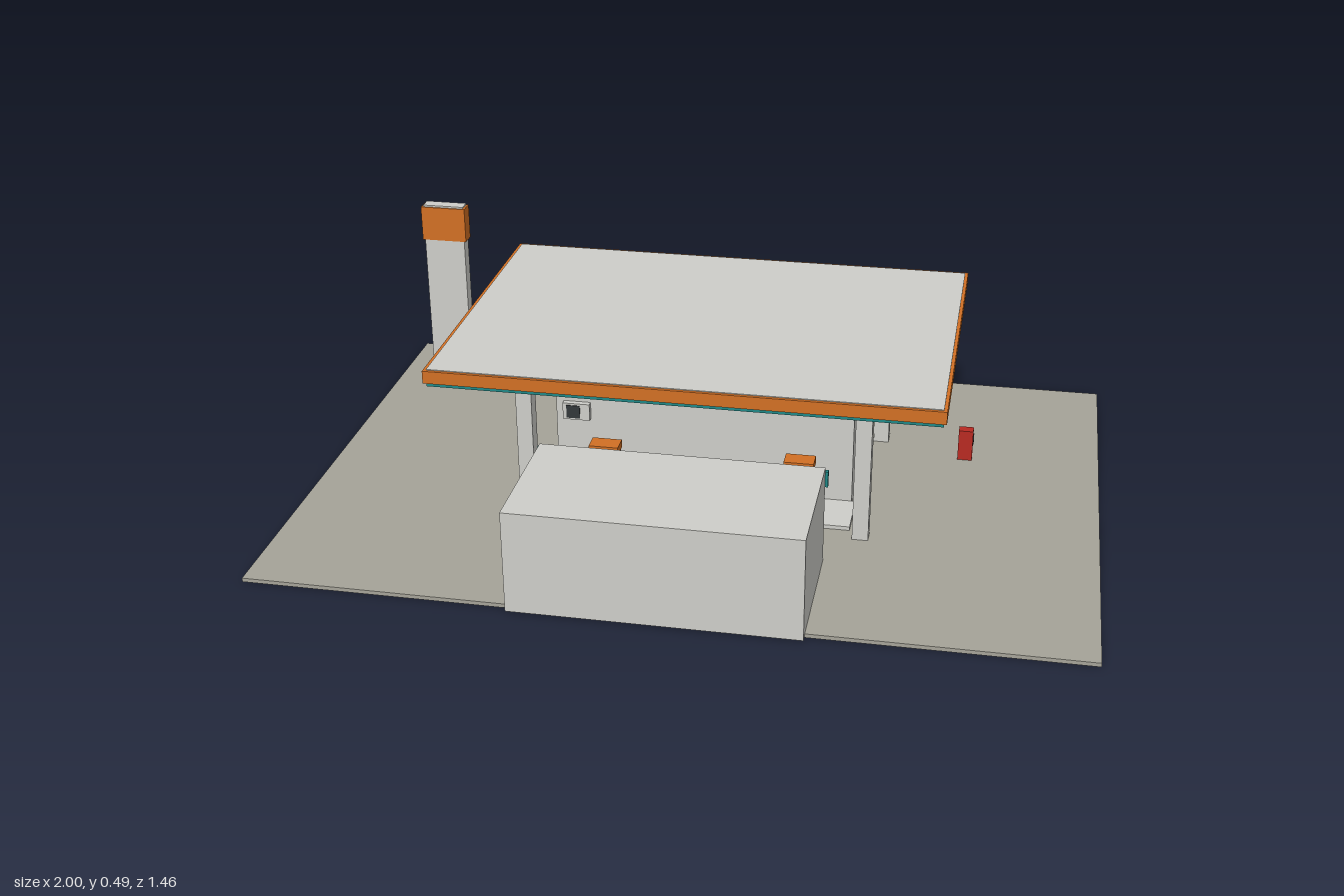
import * as THREE from 'three';

export function createModel() {
  const root = new THREE.Group();
  root.name = 'fillingStation';

  const mat = (name, color) => {
    const m = new THREE.MeshStandardMaterial({ color });
    m.name = name;
    return m;
  };
  const wall = mat('paleGrey', 0xcfcfca);
  const paving = mat('paving', 0xa6a499);
  const orange = mat('orange', 0xd27024);
  const teal = mat('teal', 0x1f8886);
  const red = mat('red', 0xb82a22);
  const glass = mat('darkGlass', 0x35505c);
  const dark = mat('darkMetal', 0x33373a);
  const brown = mat('brownWood', 0x5a3422);

  // Box given by its limits on each axis
  const box = (name, material, [x0, x1], [y0, y1], [z0, z1], parent = root) => {
    const mesh = new THREE.Mesh(new THREE.BoxGeometry(x1 - x0, y1 - y0, z1 - z0), material);
    mesh.position.set((x0 + x1) / 2, (y0 + y1) / 2, (z0 + z1) / 2);
    mesh.name = name;
    parent.add(mesh);
    return mesh;
  };
  const group = (name, x = 0, y = 0, z = 0) => {
    const g = new THREE.Group();
    g.name = name;
    g.position.set(x, y, z);
    root.add(g);
    return g;
  };

  // Forecourt slab
  box('forecourt', paving, [-1, 1], [0, 0.01], [-0.68, 0.71]);

  // Canopy on four columns
  const canopy = group('canopy');
  box('canopyTrim', teal, [-0.618, 0.613], [0.402, 0.412], [-0.448, 0.403], canopy);
  box('canopyFascia', orange, [-0.625, 0.62], [0.412, 0.444], [-0.455, 0.41], canopy);
  box('canopyRoof', wall, [-0.617, 0.612], [0.44, 0.446], [-0.447, 0.402], canopy);
  box('canopyCeiling', wall, [-0.61, 0.605], [0.4, 0.404], [-0.44, 0.395], canopy);
  for (const x of [-0.31, 0, 0.31])
    for (const z of [-0.17, 0.135])
      box('ceilingLight', wall, [x - 0.05, x + 0.05], [0.395, 0.401], [z - 0.02, z + 0.02], canopy);
  for (const x of [-0.42, 0.42])
    for (const z of [-0.29, 0.25])
      box('column', wall, [x - 0.02, x + 0.02], [0.005, 0.402], [z - 0.02, z + 0.02], canopy);

  // Shop: body, pavement, fascia and sloping awning
  const shop = group('shop');
  box('shopBody', wall, [-0.385, 0.38], [0.004, 0.325], [-0.6, 0.095], shop);
  box('shopPavement', wall, [-0.4, 0.4], [0.004, 0.016], [-0.69, -0.58], shop);
  box('shopFascia', teal, [-0.393, 0.39], [0.228, 0.31], [-0.618, -0.598], shop);
  box('fasciaStripe', orange, [-0.388, 0.385], [0.217, 0.228], [-0.612, -0.598], shop);
  const awning = box('shopAwning', teal, [-0.385, 0.38], [0.234, 0.242], [-0.732, -0.61], shop);
  awning.rotation.x = -0.2;

  // Glazing with frames and a double door
  for (const x of [-0.29, -0.155, 0.155, 0.29])
    box('shopWindow', glass, [x - 0.06, x + 0.06], [0.045, 0.205], [-0.605, -0.599], shop);
  for (const x of [-0.042, 0.042]) {
    box('shopDoor', glass, [x - 0.038, x + 0.038], [0.018, 0.205], [-0.605, -0.599], shop);
    box('doorHandle', wall, [x * 0.3 - 0.003, x * 0.3 + 0.003], [0.085, 0.13], [-0.61, -0.604], shop);
  }

  // Cooling unit on the forecourt wall
  box('coolingUnit', wall, [-0.365, -0.295], [0.195, 0.24], [0.09, 0.11]);
  box('coolingGrille', dark, [-0.355, -0.32], [0.2, 0.235], [0.109, 0.112]);

  // Ice chest beside the shop door
  box('iceChest', wall, [0.2, 0.355], [0.014, 0.08], [-0.71, -0.65]);
  box('iceChestLid', wall, [0.197, 0.358], [0.08, 0.086], [-0.712, -0.648]);

  // Parasol
  const parasol = group('parasol', -0.04, 0, -0.612);
  const shade = new THREE.Mesh(new THREE.ConeGeometry(0.1, 0.036, 8), red);
  shade.material.name = 'red';
  shade.geometry = shade.geometry.toNonIndexed();
  shade.geometry.computeVertexNormals();
  shade.position.y = 0.182;
  shade.name = 'parasolShade';
  parasol.add(shade);
  box('parasolPole', brown, [-0.004, 0.004], [0.014, 0.17], [-0.004, 0.004], parasol);

  // Goods rack with three stocked shelves
  const rack = group('goodsRack', 0.0, 0.014, -0.65);
  for (const x of [-0.05, 0.05])
    for (const z of [-0.014, 0.014])
      box('rackPost', brown, [x - 0.003, x + 0.003], [0, 0.088], [z - 0.003, z + 0.003], rack);
  for (const y of [0.015, 0.048, 0.082]) {
    box('rackShelf', brown, [-0.053, 0.053], [y, y + 0.005], [-0.017, 0.017], rack);
    for (const x of [-0.032, 0, 0.032])
      box('rackGoods', x ? brown : red, [x - 0.01, x + 0.01], [y + 0.005, y + 0.021], [-0.01, 0.01], rack);
  }

  // Bench
  const bench = group('bench', -0.24, 0.014, -0.665);
  box('benchSeat', red, [-0.07, 0.07], [0.022, 0.029], [-0.02, 0.02], bench);
  for (const x of [-0.055, 0.055])
    box('benchLeg', dark, [x - 0.005, x + 0.005], [0, 0.022], [-0.016, 0.016], bench);

  // Pump islands, each with one pump
  for (const x of [-0.25, 0.25]) {
    box('pumpIsland', wall, [x - 0.14, x + 0.14], [0.004, 0.02], [0.095, 0.228]);
    const pump = group('fuelPump', x, 0.02, 0.133);
    box('pumpBody', wall, [-0.035, 0.035], [0, 0.108], [-0.022, 0.022], pump);
    box('pumpCap', orange, [-0.038, 0.038], [0.108, 0.128], [-0.024, 0.024], pump);
    for (const s of [-1, 1]) {
      box('pumpScreen', glass, [-0.024, 0.024], [0.068, 0.096], [s * 0.022 - 0.002, s * 0.022 + 0.002], pump);
      box('pumpHose', dark, [s * 0.038 - 0.004, s * 0.038 + 0.004], [0.012, 0.09], [-0.004, 0.004], pump);
    }
  }

  // Wash hall, its bays opening towards the pumps
  const hall = group('washHall');
  box('hallBody', wall, [-0.35, 0.343], [0.004, 0.263], [0.384, 0.73], hall);
  box('hallFascia', teal, [-0.357, 0.35], [0.212, 0.252], [0.374, 0.386], hall);
  for (const x of [-0.225, 0, 0.225])
    box('bayDoor', glass, [x - 0.09, x + 0.09], [0.01, 0.185], [0.38, 0.386], hall);

  // Price pylon with three blank panels
  const pylon = group('pricePylon');
  box('pylonBody', wall, [-0.947, -0.83], [0.004, 0.4], [-0.617, -0.58], pylon);
  box('pylonHead', orange, [-0.953, -0.824], [0.388, 0.487], [-0.621, -0.577], pylon);
  box('pylonTop', wall, [-0.947, -0.83], [0.487, 0.492], [-0.617, -0.581], pylon);
  for (const y of [0.21, 0.275, 0.34])
    box('pricePanel', glass, [-0.936, -0.841], [y - 0.023, y + 0.023], [-0.621, -0.616], pylon);

  // Red service post
  box('servicePost', red, [0.63, 0.668], [0.008, 0.095], [-0.23, -0.202]);
  box('servicePostPanel', dark, [0.667, 0.67], [0.055, 0.08], [-0.224, -0.208]);

  return root;
}
